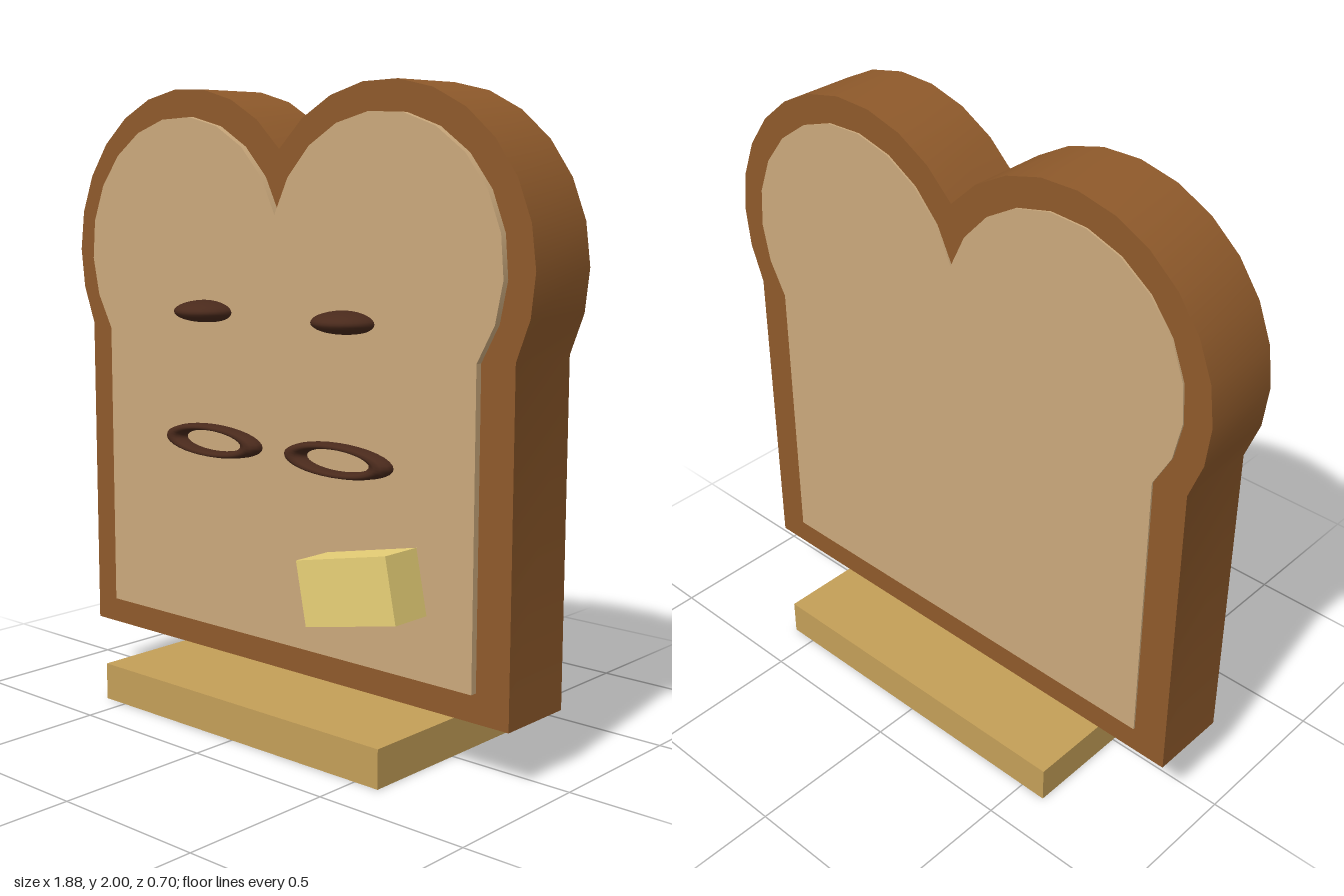
import * as THREE from 'three';
import { toCreasedNormals } from 'three/addons/utils/BufferGeometryUtils.js';

// Bread slice outline: straight sides with two round lobes meeting in a notch
function sliceShape(halfWidth, bottom, cx, cy, r) {
  const low = -Math.acos((halfWidth - cx) / r); // where the lobe meets the side
  const notch = Math.PI - Math.acos(cx / r); // where the lobes meet at x = 0
  const s = new THREE.Shape();
  s.moveTo(-halfWidth, bottom);
  s.lineTo(halfWidth, bottom);
  s.absarc(cx, cy, r, low, notch, false);
  s.absarc(-cx, cy, r, Math.PI - notch, Math.PI - low, false);
  s.closePath();
  return s;
}

function sliceGeometry(shape, back, front) {
  const g = new THREE.ExtrudeGeometry(shape, { depth: front - back, bevelEnabled: false, curveSegments: 6 });
  g.translate(0, 0, back);
  return toCreasedNormals(g, 0.4);
}

export function createModel() {
  const group = new THREE.Group();
  const mat = (color) => new THREE.MeshStandardMaterial({ color });
  const crustMat = mat(0x8f5a2b), crumbMat = mat(0xcba97c), darkMat = mat(0x4a2a1c);
  const butterMat = mat(0xe8d077), baseMat = mat(0xc49f58);

  const add = (name, geometry, material, x = 0, y = 0, z = 0) => {
    const m = new THREE.Mesh(geometry, material);
    m.name = name;
    m.position.set(x, y, z);
    group.add(m);
    return m;
  };

  // Crust, with the paler crumb standing slightly proud on both faces
  add('crust', sliceGeometry(sliceShape(0.88, 0.18, 0.41, 1.47, 0.53), -0.132, 0.132), crustMat);
  add('crumb', sliceGeometry(sliceShape(0.765, 0.27, 0.415, 1.475, 0.436), -0.138, 0.154), crumbMat);

  // Face: flattened eyes and a pair of flattened rings
  for (const side of [-1, 1]) {
    const label = side > 0 ? 'left' : 'right';
    add(label + 'Eye', new THREE.SphereGeometry(0.106, 24, 16), darkMat, side * 0.293, 1.3, 0.157)
      .scale.y = 0.33;
    add(label + 'MouthRing', new THREE.TorusGeometry(0.17, 0.041, 12, 32), darkMat, side * 0.264, 0.885, 0.155)
      .scale.y = 0.25;
  }

  // Tilted pat of butter
  add('butter', new THREE.BoxGeometry(0.35, 0.2, 0.15), butterMat, 0.41, 0.533, 0.22).rotation.z = 0.2;

  // Base board under the slice
  add('base', new THREE.BoxGeometry(1.174, 0.12, 0.704), baseMat, 0, 0.06, 0);

  return group;
}
